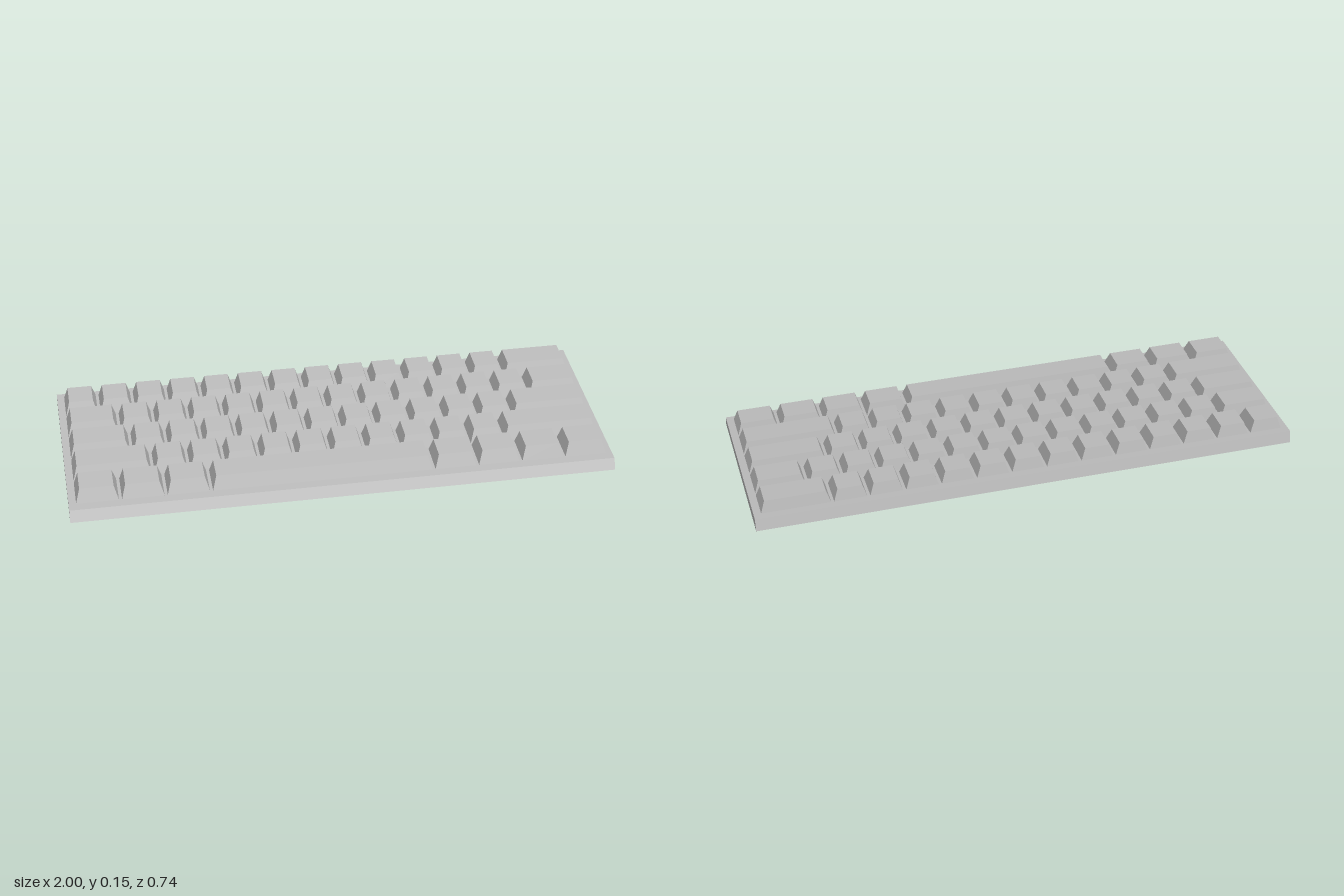
import * as THREE from 'three';

const grey = new THREE.MeshStandardMaterial({ color: 0xbcbcbc, flatShading: true });
grey.name = 'grey plastic';

// Key widths in units, from the back row to the front row
const ones = (n) => Array(n).fill(1);
const ROWS = [
  [...ones(13), 2],
  [1.5, ...ones(12), 1.5],
  [1.75, ...ones(11), 2.25],
  [2.25, ...ones(10), 2.75],
  [1.25, 1.25, 1.25, 6.25, 1.25, 1.25, 1.25, 1.25],
];
const UNIT = 0.1305, GAP = 0.011, ROW_STEP = 0.133, RISE = 0.0102;

// Solid with a side profile of [z, y] points, running across x
function sideProfile(name, points, width, x) {
  const shape = new THREE.Shape(points.map(([z, y]) => new THREE.Vector2(-z, y)));
  const geo = new THREE.ExtrudeGeometry(shape, { depth: width, bevelEnabled: false });
  geo.translate(0, 0, -width / 2).rotateY(Math.PI / 2);
  const mesh = new THREE.Mesh(geo, grey);
  mesh.name = name;
  mesh.position.x = x;
  return mesh;
}

// Tapered keycap: steep back, sloped front, inset sides, leaning with the case
function keycap(width) {
  const geo = new THREE.BoxGeometry(1, 1, 1);
  const p = geo.attributes.position;
  for (let i = 0; i < p.count; i++) {
    const top = p.getY(i) > 0, front = p.getZ(i) > 0;
    const x = Math.sign(p.getX(i)) * (width / 2 - (top ? 0.015 : 0));
    const y = top ? (front ? 0.05 : 0.057) : (front ? 0 : 0.01);
    const z = front ? (top ? 0.0415 : 0.061) : (top ? -0.052 : -0.061);
    p.setXYZ(i, x, y, z);
  }
  geo.computeVertexNormals();
  return new THREE.Mesh(geo, grey);
}

export function createModel() {
  const model = new THREE.Group();
  model.name = 'keyboard';

  // Wedge case
  model.add(sideProfile('case',
    [[0.37, 0.003], [0.35, 0.042], [-0.36, 0.1], [-0.37, 0.056]].reverse(), 2, 0));

  // Rows of keys
  ROWS.forEach((widths, r) => {
    const row = new THREE.Group();
    row.name = `keyRow${r + 1}`;
    row.position.set(0, 0.0905 - r * RISE, -0.271 + r * ROW_STEP);
    let x = -7.5 * UNIT;
    widths.forEach((w) => {
      const key = keycap(w * UNIT - GAP);
      key.name = w > 6 ? 'spaceBar' : 'key';
      key.position.x = x + (w * UNIT) / 2;
      row.add(key);
      x += w * UNIT;
    });
    model.add(row);
  });

  // Folding feet under the back
  for (const s of [-1, 1]) {
    model.add(sideProfile(s < 0 ? 'rightFoot' : 'leftFoot',
      [[-0.18, 0.0465], [-0.254, 0.001], [-0.259, 0.002], [-0.262, 0.008], [-0.26, 0.012], [-0.203, 0.047]].reverse(),
      0.1, s * 0.713));
  }
  return model;
}
